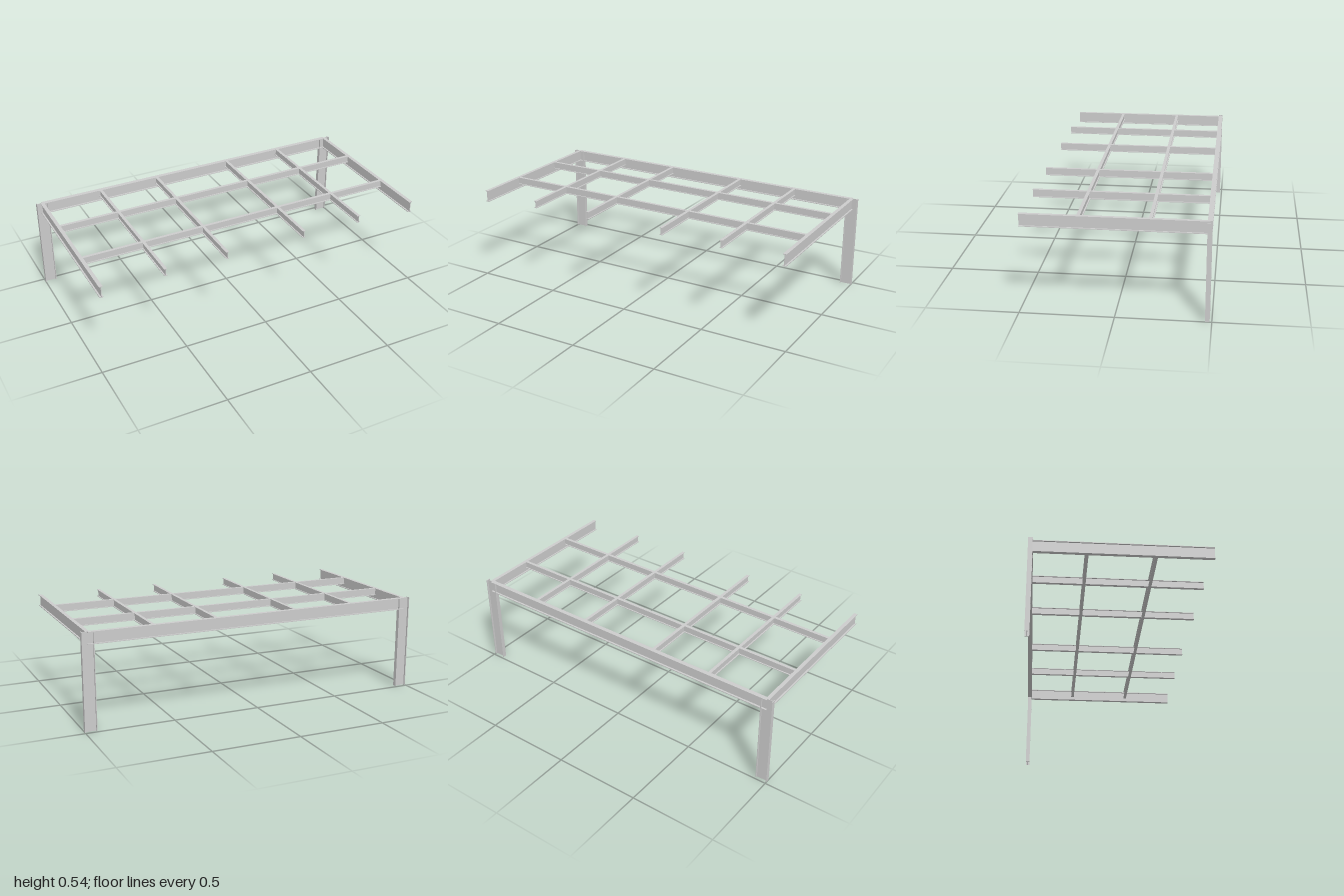
import * as THREE from 'three';

const material = new THREE.MeshStandardMaterial({ color: 0xcccccc });

// I-section of depth h (y) and flange width w (x), centred on the origin
function iSection(h, w, flange, web) {
  const a = w / 2, b = h / 2, c = web / 2, d = b - flange;
  const half = [[c, -d], [a, -d], [a, -b]];
  const right = [[a, b], [a, d], [c, d], ...half];
  const left = right.map(([x, y]) => [-x, -y]);
  return new THREE.Shape([...right, ...left].map(([x, y]) => new THREE.Vector2(x, y)));
}

const sections = {
  post: iSection(0.068, 0.024, 0.004, 0.003),
  main: iSection(0.068, 0.025, 0.004, 0.003),
  side: iSection(0.068, 0.021, 0.004, 0.003),
  light: iSection(0.043, 0.018, 0.003, 0.003),
};

// Directions of the section's x, y and its length, for each run of a beam
const V = (x, y, z) => new THREE.Vector3(x, y, z);
const bases = {
  x: [V(0, 0, -1), V(0, 1, 0), V(1, 0, 0)],
  y: [V(0, 0, 1), V(1, 0, 0), V(0, 1, 0)],
  z: [V(1, 0, 0), V(0, 1, 0), V(0, 0, 1)],
};

function beam(name, section, axis, length, x, y, z) {
  const geometry = new THREE.ExtrudeGeometry(sections[section], { depth: length, bevelEnabled: false });
  geometry.translate(0, 0, -length / 2);
  geometry.applyMatrix4(new THREE.Matrix4().makeBasis(...bases[axis]));
  const mesh = new THREE.Mesh(geometry, material);
  mesh.name = name;
  mesh.position.set(x, y, z);
  return mesh;
}

export function createModel() {
  const group = new THREE.Group();
  group.name = 'canopyFrame';
  const top = 0.541, deepY = top - 0.034, lightY = top - 0.0215, backZ = -0.477;

  // Back beam between the posts
  group.add(beam('backBeam', 'main', 'x', 1.932, 0, deepY, backZ));

  for (const [side, s] of [['left', 1], ['right', -1]]) {
    // Post and deep cantilever beam at each end
    group.add(beam(side + 'Post', 'post', 'y', top, s * 0.966, top / 2, backZ));
    group.add(beam(side + 'SideBeam', 'side', 'z', 0.967, s * 0.965, deepY, 0.0055));
    // Lighter joists reaching forward
    [0.24, 0.604].forEach((x, i) =>
      group.add(beam(side + 'Joist' + (i + 1), 'light', 'z', 0.965, s * x, lightY, 0.0065)));
  }

  // Purlins crossing the joists
  [-0.181, 0.185].forEach((z, i) =>
    group.add(beam('purlin' + (i + 1), 'light', 'x', 1.928, 0, lightY, z)));

  return group;
}
